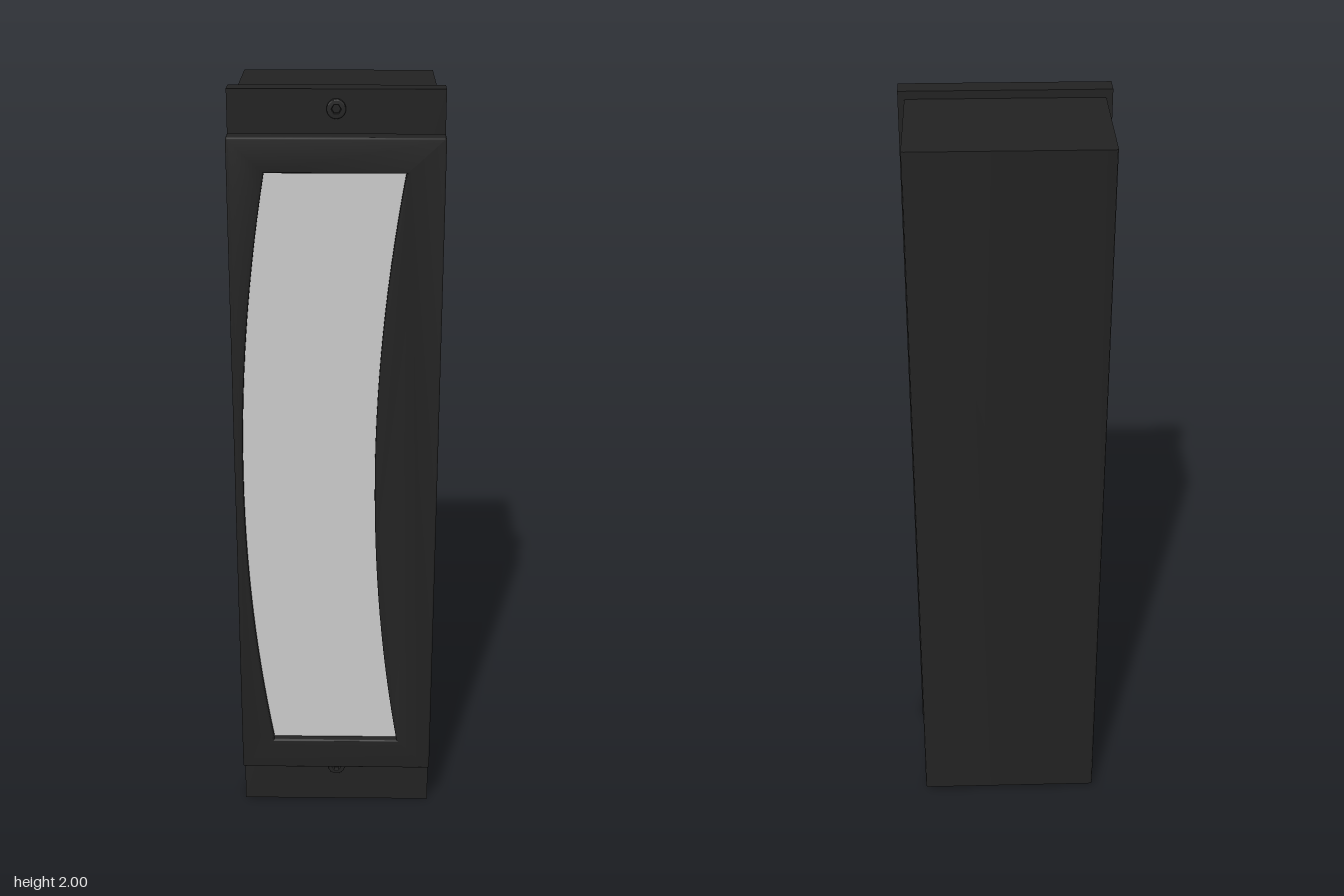
import * as THREE from 'three';
import { toCreasedNormals } from 'three/addons/utils/BufferGeometryUtils.js';

const black = new THREE.MeshStandardMaterial({ color: 0x222222 });
black.name = 'black casing';
const frosted = new THREE.MeshStandardMaterial({ color: 0xcacaca });
frosted.name = 'frosted lens';

// Rectangle with rounded corners, centred on (0, cy)
function roundedRect(w, h, r, cy = 0) {
  const s = new THREE.Shape();
  const x = w / 2 - r, y = h / 2 - r;
  s.absarc(x, cy + y, r, 0, Math.PI / 2);
  s.absarc(-x, cy + y, r, Math.PI / 2, Math.PI);
  s.absarc(-x, cy - y, r, Math.PI, Math.PI * 1.5);
  s.absarc(x, cy - y, r, Math.PI * 1.5, Math.PI * 2);
  s.closePath();
  return s;
}

// Extrusion of total thickness t whose rounded edges stay inside the outline
function slab(shape, t, bevel, curveSegments = 6) {
  const geo = new THREE.ExtrudeGeometry(shape, {
    depth: t - 2 * bevel, curveSegments,
    bevelEnabled: bevel > 0, bevelThickness: bevel, bevelSize: bevel,
    bevelOffset: -bevel, bevelSegments: 3,
  });
  geo.translate(0, 0, bevel);
  return toCreasedNormals(geo, 0.6);
}

// Window outline: two parallel arcs bowing toward -x between level ends
function windowPoints(grow = 0) {
  const bottom = 0.24 - grow, top = 1.815 + grow, n = 28, pts = [];
  const bow = (t) => 0.067 * (1 - (2 * t - 1) ** 2);
  for (let i = 0; i <= n; i++) {
    const t = i / n;
    pts.push(new THREE.Vector2(0.166 + grow - bow(t), bottom + (top - bottom) * t));
  }
  for (let i = n; i >= 0; i--) {
    const t = i / n;
    pts.push(new THREE.Vector2(-0.17 - grow - bow(t), bottom + (top - bottom) * t));
  }
  return pts;
}

export function createModel() {
  const model = new THREE.Group();
  model.name = 'wall light';
  const add = (name, geo, mat, x, y, z) => {
    const mesh = new THREE.Mesh(geo, mat);
    mesh.name = name;
    mesh.position.set(x, y, z);
    model.add(mesh);
    return mesh;
  };

  // Recessed housing, rounded along its upright edges
  const housing = slab(roundedRect(0.484, 0.332, 0.007), 1.954, 0);
  housing.rotateX(-Math.PI / 2);
  add('housing', housing, black, 0, 0.026, -0.061);

  // Mounting plate
  add('mountingPlate', new THREE.BoxGeometry(0.516, 2, 0.055), black, 0, 1, 0.1325);

  // Front cover with the curved window
  const cover = roundedRect(0.516, 1.75, 0.006, 1.025);
  cover.holes.push(new THREE.Path(windowPoints().reverse()));
  add('frontCover', slab(cover, 0.05, 0.005), black, 0, 0, 0.175);

  // Lens set back inside the window
  add('lens', slab(new THREE.Shape(windowPoints(0.004)), 0.025, 0), frosted, 0, 0, 0.18);

  // Fixing screws with hexagonal sockets
  const head = new THREE.Shape().absarc(0, 0, 0.023, 0, Math.PI * 2);
  const socket = [];
  for (let i = 0; i < 6; i++) {
    const a = -i * Math.PI / 3;
    socket.push(new THREE.Vector2(Math.cos(a) * 0.011, Math.sin(a) * 0.011));
  }
  head.holes.push(new THREE.Path(socket));
  const screw = slab(head, 0.016, 0.003, 16);
  add('upperScrew', screw, black, 0, 1.955, 0.157);
  add('lowerScrew', screw, black, 0, 0.115, 0.157);

  return model;
}
